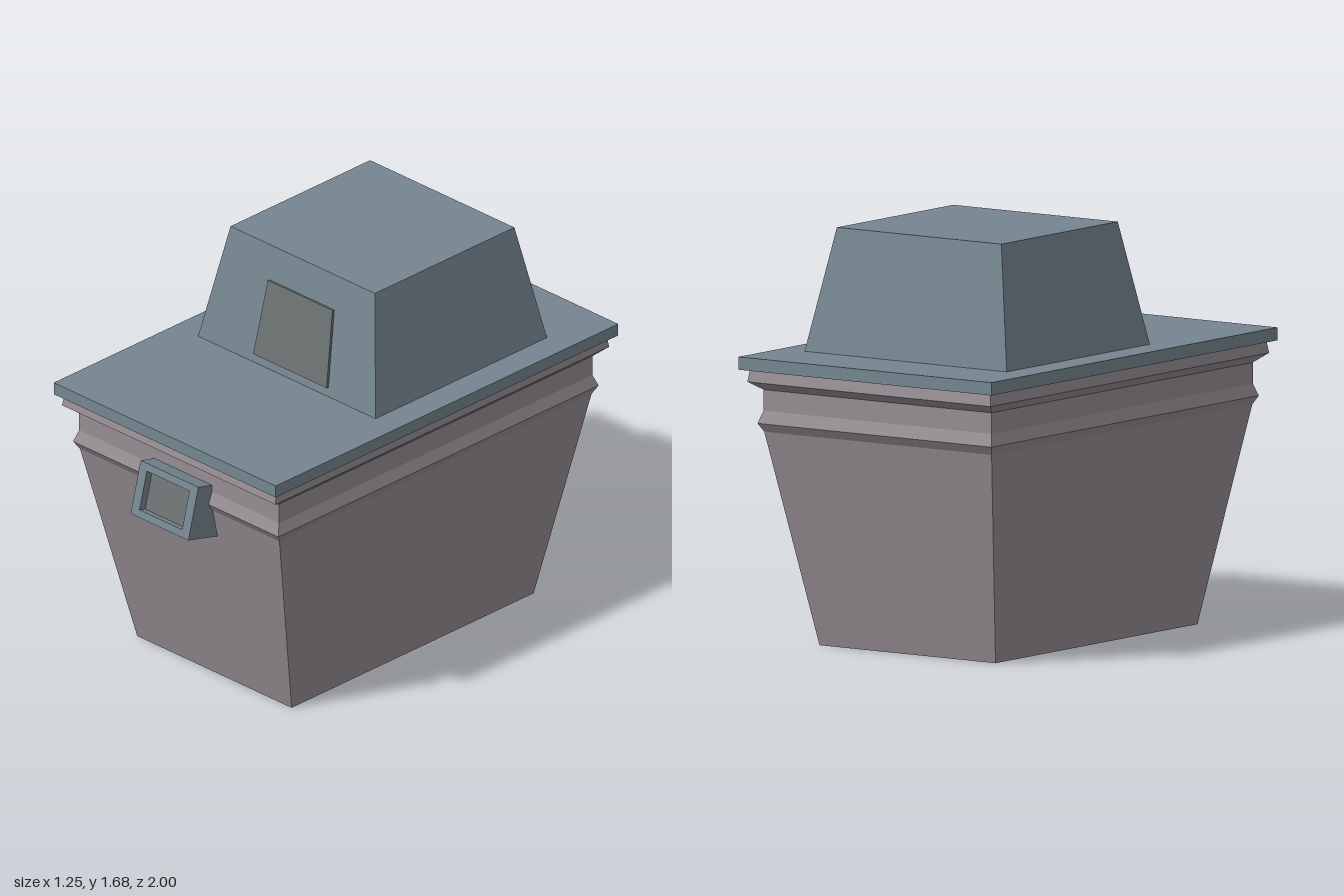
import * as THREE from 'three';

const material = (color) => new THREE.MeshStandardMaterial({ color, flatShading: true });
const bodyMat = material(0x958d92);
const lidMat = material(0x75858f);
const panelMat = material(0x6c7272);

function part(name, geometry, mat, parent) {
  const mesh = new THREE.Mesh(geometry, mat);
  mesh.name = name;
  parent.add(mesh);
  return mesh;
}

// Closed solid through stacked rectangles: [y, xMin, xMax, zBack, zFront]
function stackedRects(rings) {
  const pos = [];
  const index = [];
  for (const [y, x0, x1, z0, z1] of rings) {
    pos.push(x0, y, z1, x1, y, z1, x1, y, z0, x0, y, z0);
  }
  for (let r = 0; r < rings.length - 1; r++) {
    for (let i = 0; i < 4; i++) {
      const a = r * 4 + i, b = r * 4 + (i + 1) % 4;
      index.push(a, b, b + 4, a, b + 4, a + 4);
    }
  }
  const t = (rings.length - 1) * 4;
  index.push(0, 2, 1, 0, 3, 2, t, t + 1, t + 2, t, t + 2, t + 3);
  const geo = new THREE.BufferGeometry();
  geo.setAttribute('position', new THREE.Float32BufferAttribute(pos, 3));
  geo.setIndex(index);
  const flat = geo.toNonIndexed();
  flat.computeVertexNormals();
  return flat;
}

const polygon = (pts) => pts.map(([x, y]) => new THREE.Vector2(x, y));
const rectangle = (w, h) => polygon([[-w / 2, -h / 2], [w / 2, -h / 2], [w / 2, h / 2], [-w / 2, h / 2]]);
const extrude = (shape, depth) => new THREE.ExtrudeGeometry(shape, { depth, bevelEnabled: false });

export function createModel() {
  const model = new THREE.Group();
  model.name = 'lidded bin';

  // Tapered bin with a raised ridge and a flared rim
  const profile = [
    [0, 0.435, -0.711, 0.663],
    [0.875, 0.562, -0.912, 0.86],
    [0.91, 0.578, -0.936, 0.883],
    [0.96, 0.563, -0.915, 0.863],
    [1.045, 0.563, -0.915, 0.863],
    [1.08, 0.601, -0.973, 0.922],
    [1.13, 0.595, -0.963, 0.911],
  ];
  part('bin', stackedRects(profile.map(([y, w, z0, z1]) => [y, -w, w, z0, z1])), bodyMat, model);

  // Flat lid
  const lid = part('lid', new THREE.BoxGeometry(1.25, 0.052, 1.945), lidMat, model);
  lid.position.set(0, 1.156, -0.0275);

  // Tapered hood on the lid
  part('hood', stackedRects([
    [1.18, -0.495, 0.505, -0.717, 0.257],
    [1.68, -0.402, 0.411, -0.626, 0.166],
  ]), lidMat, model);

  // Trapezoid panel lying on the hood's sloping front
  const flap = new THREE.Shape(polygon([[-0.207, -0.163], [0.207, -0.163], [0.182, 0.163], [-0.182, 0.163]]));
  const hoodPanel = part('hoodPanel', extrude(flap, 0.02), panelMat, model);
  hoodPanel.position.set(0.026, 1.377, 0.212);
  hoodPanel.rotation.x = -Math.atan2(0.091, 0.5);

  // Tilted latch with a recessed panel
  const latch = new THREE.Group();
  latch.name = 'latch';
  latch.position.set(0.0225, 0.9, 0.969);
  latch.rotation.x = -0.253;
  model.add(latch);
  const recess = 0.035;
  const frame = new THREE.Shape(rectangle(0.325, 0.227));
  frame.holes.push(new THREE.Path(rectangle(0.24, 0.165)));
  part('latchFrame', extrude(frame, recess), lidMat, latch).position.z = -recess;
  part('latchBlock', new THREE.BoxGeometry(0.325, 0.227, 0.148), lidMat, latch).position.z = -recess - 0.074;
  part('latchPanel', new THREE.PlaneGeometry(0.24, 0.165), panelMat, latch).position.z = -recess + 0.002;

  return model;
}
